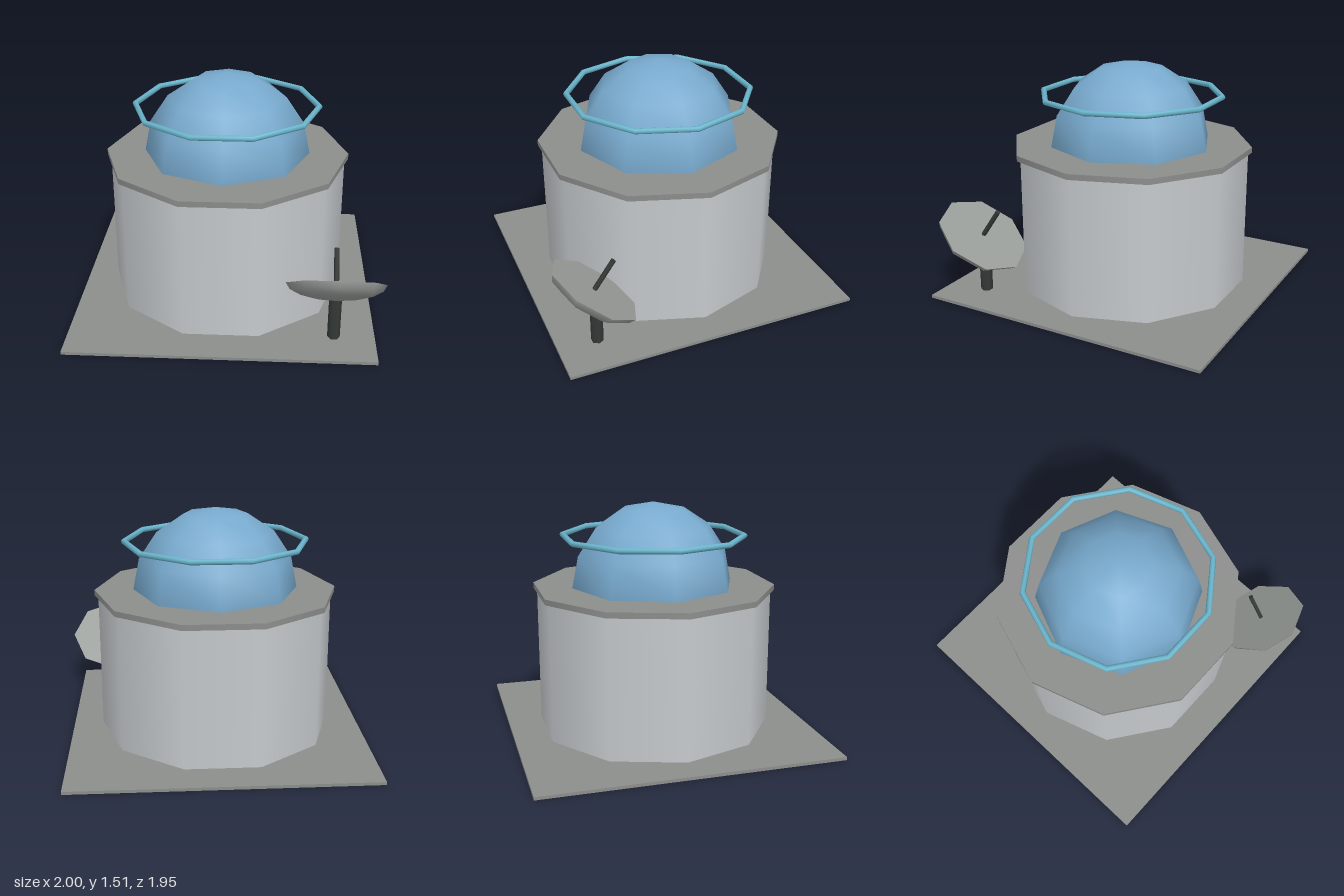
import * as THREE from 'three';

const material = (name, color) => {
  const m = new THREE.MeshStandardMaterial({ color });
  m.name = name;
  return m;
};

export function createModel() {
  const model = new THREE.Group();
  model.name = 'domedBuilding';

  const stone = material('mid grey', 0x8c8e8c);
  const wallGrey = material('pale grey', 0xc6cacd);
  const domeBlue = material('dome blue', 0x78aace);
  const ringBlue = material('ring cyan', 0x69b4cb);
  const dishGrey = material('dish grey', 0x9a9e9b);
  const dark = material('dark metal', 0x343a38);

  const add = (parent, name, geometry, mat, x = 0, y = 0, z = 0) => {
    const mesh = new THREE.Mesh(geometry, mat);
    mesh.name = name;
    mesh.position.set(x, y, z);
    parent.add(mesh);
    return mesh;
  };
  // Cylinder with a corner on the x axis
  const prism = (radius, height, sides) =>
    new THREE.CylinderGeometry(radius, radius, height, sides).rotateY(Math.PI / 2);

  // Ground slab, drum wall and roof rim
  const cx = -0.028;
  add(model, 'baseSlab', new THREE.BoxGeometry(1.945, 0.02, 1.945), stone, cx, 0.01, 0);
  add(model, 'drumWall', prism(0.778, 0.913, 10), wallGrey, cx, 0.4765, 0);
  add(model, 'roofRim', prism(0.802, 0.037, 10), stone, cx, 0.9515, 0);

  // Faceted half-sphere dome and the ring floating around it
  add(model, 'dome',
    new THREE.SphereGeometry(0.545, 8, 4, 0, Math.PI * 2, 0, Math.PI / 2), domeBlue, cx, 0.97, 0);
  add(model, 'domeRing',
    new THREE.TorusGeometry(0.598, 0.0187, 8, 10).rotateX(Math.PI / 2), ringBlue, cx, 1.295, 0);

  // Antenna post
  add(model, 'antennaPost', prism(0.04, 0.32, 6), dark, 0.685, 0.18, 0.715);

  // Tilted dish: rounded back, flat face and feed rod
  const dish = new THREE.Group();
  dish.name = 'antennaDish';
  dish.position.set(0.685, 0.41, 0.718);
  dish.rotation.x = THREE.MathUtils.degToRad(-35);
  model.add(dish);

  const radius = 0.311, depth = 0.105, profile = [];
  for (let i = 0; i <= 4; i++) {
    const a = (i / 4) * Math.PI / 2;
    profile.push(new THREE.Vector2(radius * Math.sin(a), -depth * Math.cos(a)));
  }
  add(dish, 'dishBack', new THREE.LatheGeometry(profile, 8), dishGrey);
  add(dish, 'dishFace', new THREE.CircleGeometry(radius, 8).rotateX(-Math.PI / 2), dishGrey);
  add(dish, 'feedRod', prism(0.016, 0.23, 6), dark, 0, 0.105, 0);

  return model;
}
